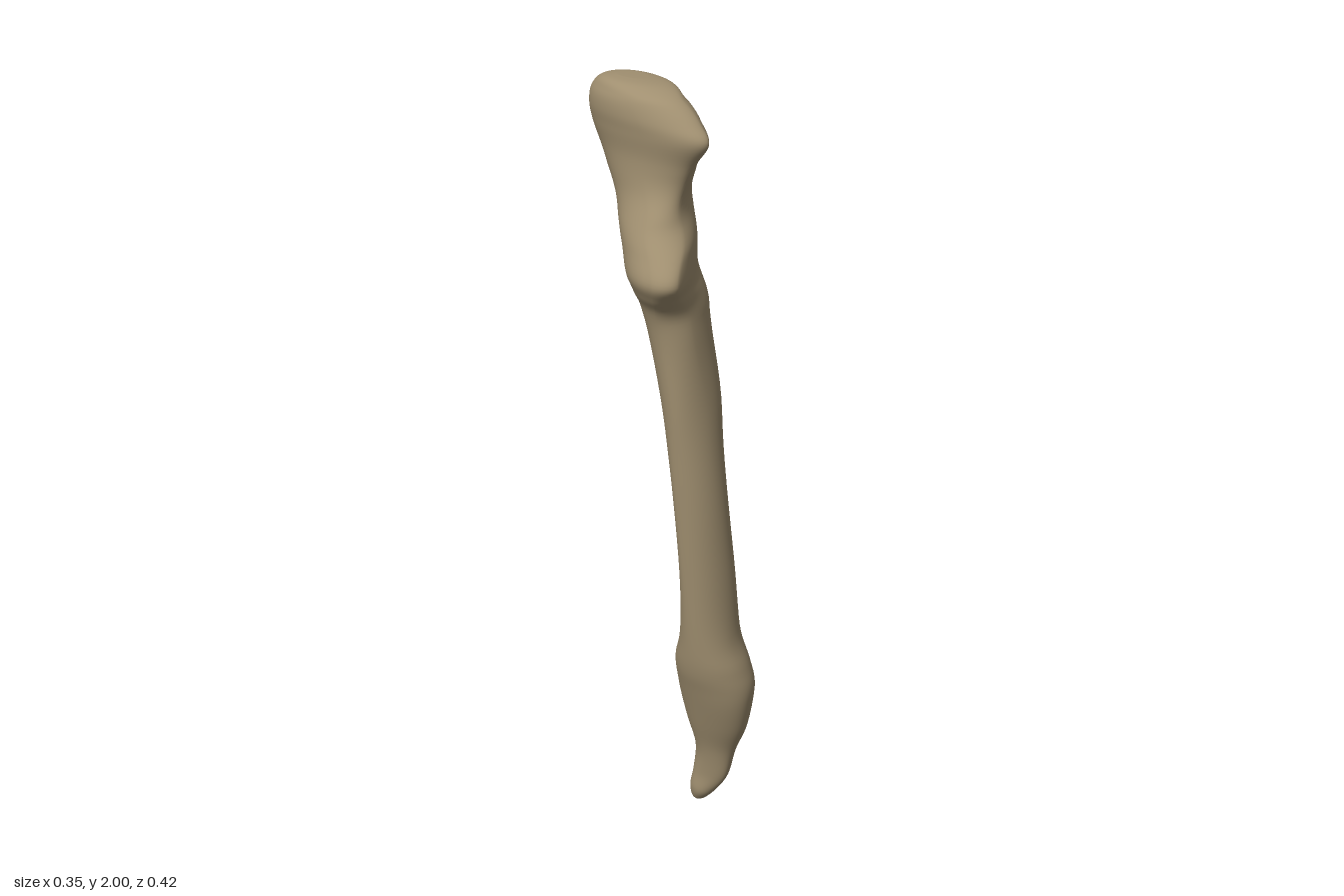
import * as THREE from 'three';

// Outline of the bone: [y, xMin, xMax, zMin, zMax]
const OUTLINE = [
  [0.003, 0.105, 0.12, 0.015, 0.03],
  [0.015, 0.095, 0.132, 0.005, 0.048],
  [0.05, 0.082, 0.148, 0.002, 0.078],
  [0.11, 0.083, 0.162, 0.012, 0.115],
  [0.2, 0.07, 0.163, 0.02, 0.14],
  [0.3, 0.038, 0.171, 0.002, 0.183],
  [0.42, 0, 0.17, -0.007, 0.211],
  [0.5, -0.024, 0.155, 0.002, 0.204],
  [0.6, -0.038, 0.13, 0.038, 0.181],
  [0.8, -0.058, 0.108, 0.059, 0.174],
  [1.0, -0.075, 0.09, 0.055, 0.166],
  [1.2, -0.09, 0.088, 0.03, 0.148],
  [1.4, -0.107, 0.096, -0.012, 0.13],
  [1.49, -0.125, 0.096, -0.038, 0.122],
  [1.54, -0.158, 0.093, -0.055, 0.136],
  [1.585, -0.178, 0.091, -0.072, 0.156],
  [1.64, -0.153, 0.09, -0.094, 0.136],
  [1.7, -0.12, 0.09, -0.12, 0.096],
  [1.76, -0.092, 0.09, -0.147, 0.088],
  [1.83, -0.085, 0.09, -0.181, 0.115],
  [1.89, -0.092, 0.088, -0.207, 0.158],
  [1.93, -0.094, 0.083, -0.212, 0.13],
  [1.97, -0.085, 0.066, -0.2, 0.08],
  [1.993, -0.062, 0.045, -0.17, 0.02],
  [2.0, -0.03, 0.02, -0.13, -0.05],
];

// Where each section's extremes sit: [y, xFront, zLeft, xBack, zRight, front-left roundness]
const SKEW = [
  [0, 0.113, 0.023, 0.113, 0.023, 2],
  [0.05, 0.114, 0.04, 0.114, 0.04, 2],
  [0.2, 0.11, 0.075, 0.117, 0.075, 2],
  [0.42, 0.08, 0.1, 0.09, 0.1, 2],
  [0.6, 0.04, 0.11, 0.05, 0.11, 2],
  [1.2, -0.01, 0.085, 0.005, 0.095, 1.9],
  [1.47, -0.05, 0.035, 0.02, 0.07, 1.7],
  [1.585, -0.14, 0.01, 0.02, 0.105, 1.3],
  [1.7, -0.06, -0.01, 0.015, 0.04, 1.5],
  [1.8, -0.04, -0.03, 0.005, 0, 1.5],
  [1.89, -0.04, -0.07, 0, 0.01, 1.3],
  [1.97, -0.03, -0.09, -0.005, -0.03, 1.5],
  [2.0, -0.008, -0.09, -0.008, -0.09, 2],
];

// Smooth spline through the outline rows
function outlineAt(u) {
  const last = OUTLINE.length - 1;
  const i = Math.min(Math.floor(u), last - 1);
  const t = u - i;
  const row = (k) => OUTLINE[THREE.MathUtils.clamp(k, 0, last)];
  return OUTLINE[i].map((p1, c) => {
    const p2 = row(i + 1)[c];
    const m1 = (p2 - row(i - 1)[c]) / 2;
    const m2 = (row(i + 2)[c] - p1) / 2;
    const t2 = t * t, t3 = t2 * t;
    return p1 * (2 * t3 - 3 * t2 + 1) + m1 * (t3 - 2 * t2 + t) + p2 * (3 * t2 - 2 * t3) + m2 * (t3 - t2);
  });
}

function skewAt(y) {
  let i = 0;
  while (i < SKEW.length - 2 && y > SKEW[i + 1][0]) i++;
  const s = THREE.MathUtils.smoothstep(y, SKEW[i][0], SKEW[i + 1][0]);
  return SKEW[i].map((v, c) => THREE.MathUtils.lerp(v, SKEW[i + 1][c], s));
}

// Four rounded quadrants joined at the back, left, front and right extremes
function section(u, quarter) {
  const [y, x0, x1, z0, z1] = outlineAt(u);
  const [, xf, zl, xb, zr, n] = skewAt(y);
  const points = [];
  for (let q = 0; q < 4; q++) {
    const sideX = q < 2 ? x1 : x0;
    const sideZ = q < 2 ? zl : zr;
    const front = q === 1 || q === 2;
    const endX = front ? xf : xb;
    const endZ = front ? z1 : z0;
    const power = 2 / (q === 1 ? n : 2);
    for (let k = 0; k < quarter; k++) {
      const a = (k / quarter) * Math.PI / 2;
      const toSide = q % 2 === 0 ? Math.sin(a) : Math.cos(a);
      const toEnd = q % 2 === 0 ? Math.cos(a) : Math.sin(a);
      points.push(
        endX + (sideX - endX) * Math.pow(Math.max(toSide, 0), power),
        y,
        sideZ + (endZ - sideZ) * Math.pow(Math.max(toEnd, 0), power),
      );
    }
  }
  return points;
}

function boneGeometry() {
  const quarter = 14, ring = quarter * 4, perRow = 6;
  const rows = (OUTLINE.length - 1) * perRow;
  const positions = [], index = [];
  for (let r = 0; r <= rows; r++) positions.push(...section(r / perRow, quarter));
  for (let r = 0; r < rows; r++) {
    for (let k = 0; k < ring; k++) {
      const a = r * ring + k, b = r * ring + (k + 1) % ring;
      index.push(a, a + ring, b, b, a + ring, b + ring);
    }
  }
  // Rounded tips closed with fans
  const bottom = positions.length / 3, top = bottom + 1, start = rows * ring;
  positions.push(0.113, 0, 0.023, -0.008, 2, -0.09);
  for (let k = 0; k < ring; k++) {
    const next = (k + 1) % ring;
    index.push(bottom, k, next, top, start + next, start + k);
  }
  const geometry = new THREE.BufferGeometry();
  geometry.setAttribute('position', new THREE.Float32BufferAttribute(positions, 3));
  geometry.setIndex(index);
  geometry.computeVertexNormals();
  return geometry;
}

export function createModel() {
  const boneColour = new THREE.MeshStandardMaterial({ color: 0xa08f70 });
  boneColour.name = 'bone tan';
  const bone = new THREE.Mesh(boneGeometry(), boneColour);
  bone.name = 'forearmBone';
  const model = new THREE.Group();
  model.name = 'bone';
  model.add(bone);
  return model;
}
